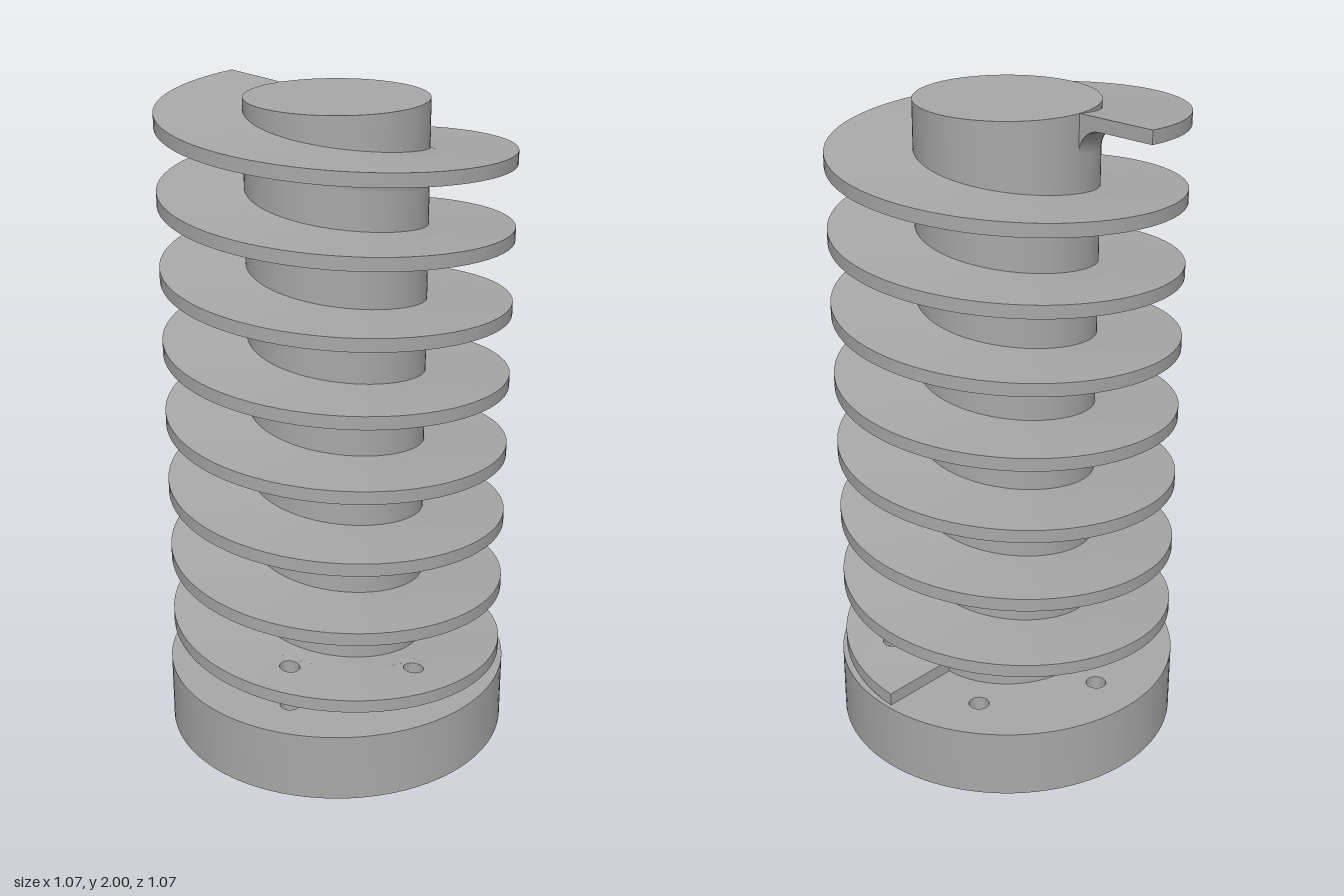
import * as THREE from 'three';
import { toCreasedNormals } from 'three/addons/utils/BufferGeometryUtils.js';

const BASE_R = 0.533, BASE_H = 0.215, CORE_R = 0.268, BLADE_R = 0.52;
const THICK = 0.04, FILLET = 0.07, HOLE_R = 0.031, BOLT_R = 0.38;
const START = -30, END = 2760; // blade angles in degrees, 7.75 turns
const rad = THREE.MathUtils.degToRad;

// height of the blade's upper face at an angle
const topAt = (deg) => BASE_H + THICK + ((deg - START) / (END - START)) * (2 - BASE_H - THICK);

// sweep a closed counter-clockwise (radius, height) profile along the helix
function helixSweep(profile, from, to) {
  const steps = Math.ceil((to - from) / 5), n = profile.length;
  const pos = [], index = [];
  for (let i = 0; i <= steps; i++) {
    const deg = from + ((to - from) * i) / steps;
    const a = rad(deg);
    for (const p of profile) pos.push(p.x * Math.cos(a), topAt(deg) + p.y, p.x * Math.sin(a));
  }
  for (let i = 0; i < steps; i++) {
    for (let j = 0; j < n; j++) {
      const k = (j + 1) % n, r0 = i * n, r1 = r0 + n;
      index.push(r0 + j, r0 + k, r1 + j, r0 + k, r1 + k, r1 + j);
    }
  }
  for (const [a, b, c] of THREE.ShapeUtils.triangulateShape(profile, [])) {
    index.push(c, b, a, steps * n + a, steps * n + b, steps * n + c);
  }
  const g = new THREE.BufferGeometry();
  g.setAttribute('position', new THREE.Float32BufferAttribute(pos, 3));
  g.setIndex(index);
  return toCreasedNormals(g, rad(30));
}

function boltHole(deg) {
  const a = rad(deg);
  return new THREE.Path().absarc(BOLT_R * Math.cos(a), BOLT_R * Math.sin(a), HOLE_R, 0, Math.PI * 2, true);
}

// short blade sector pierced by a bolt hole, sheared to follow the helix
function piercedSector(deg, half, inner) {
  const pts = [];
  const add = (r, d) => pts.push(new THREE.Vector2(r * Math.cos(rad(d)), r * Math.sin(rad(d))));
  for (let d = -half; d <= half; d += 2.5) add(BLADE_R, deg + d);
  for (let d = half; d >= -half; d -= 2.5) add(inner, deg + d);
  const shape = new THREE.Shape(pts);
  shape.holes.push(boltHole(deg));
  const g = new THREE.ExtrudeGeometry(shape, { depth: THICK, bevelEnabled: false, curveSegments: 12 });
  g.rotateX(Math.PI / 2);
  const p = g.attributes.position;
  for (let i = 0; i < p.count; i++) {
    const a = THREE.MathUtils.radToDeg(Math.atan2(p.getZ(i), p.getX(i)));
    p.setY(i, p.getY(i) + topAt(a));
  }
  return toCreasedNormals(g, rad(35));
}

export function createModel() {
  const model = new THREE.Group();
  model.name = 'screwConveyor';
  const metal = new THREE.MeshStandardMaterial({ color: 0xa8a8a8 });
  metal.name = 'grey metal';
  const add = (name, geometry, parent = model) => {
    const mesh = new THREE.Mesh(geometry, metal);
    mesh.name = name;
    parent.add(mesh);
    return mesh;
  };

  // round base flange with six bolt holes
  const disc = new THREE.Shape().absarc(0, 0, BASE_R, 0, Math.PI * 2);
  for (let i = 0; i < 6; i++) disc.holes.push(boltHole(i * 60));
  const base = new THREE.ExtrudeGeometry(disc, { depth: BASE_H, bevelEnabled: false, curveSegments: 48 });
  base.rotateX(-Math.PI / 2);
  add('baseFlange', toCreasedNormals(base, rad(35)));

  // central shaft
  const shaftH = 2 - BASE_H + 0.01;
  add('shaft', new THREE.CylinderGeometry(CORE_R, CORE_R, shaftH, 96)).position.y = 2 - shaftH / 2;

  // spiral blade
  const blade = new THREE.Group();
  blade.name = 'spiralBlade';
  model.add(blade);
  const v = (x, y) => new THREE.Vector2(x, y);
  const joint = CORE_R + FILLET;

  // blade root with a concave fillet underneath
  const root = [v(CORE_R - 0.02, -THICK - FILLET)];
  for (let i = 0; i <= 8; i++) {
    const t = (i / 8) * Math.PI / 2;
    root.push(v(joint - FILLET * Math.cos(t), -THICK - FILLET + FILLET * Math.sin(t)));
  }
  root.push(v(joint, 0), v(CORE_R - 0.02, 0));
  add('bladeRoot', helixSweep(root, START, END), blade);

  // flat outer blade, interrupted by pierced sectors on the first turn
  const plate = [v(joint, -THICK), v(BLADE_R, -THICK), v(BLADE_R, 0), v(joint, 0)];
  const half = 10;
  let from = START;
  for (const deg of [0, 60, 120]) {
    add('bladePlate', helixSweep(plate, from, deg - half), blade);
    add('piercedBladePlate', piercedSector(deg, half, joint), blade);
    from = deg + half;
  }
  add('bladePlate', helixSweep(plate, from, END), blade);

  return model;
}
